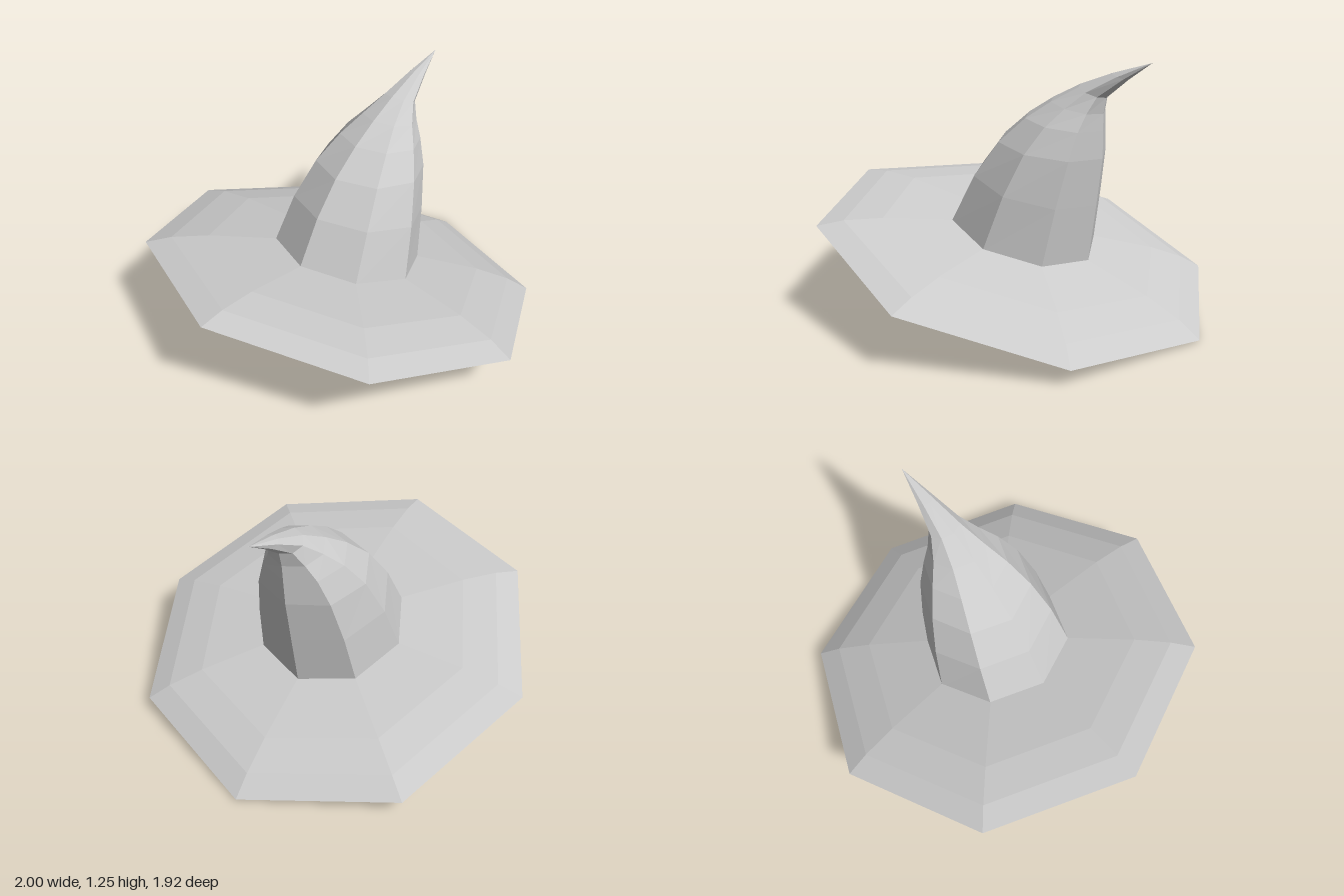
import * as THREE from 'three';

const SIDES = 8;

function flatMaterial() {
  return new THREE.MeshStandardMaterial({ color: 0xcccccc, flatShading: true, side: THREE.DoubleSide });
}

// Skins tilted rings, each given by its front and back point in the z-y plane, half width and x shift
function loftRings(rings) {
  const positions = [];
  const indices = [];
  for (const { front, back, width, shift } of rings) {
    for (let i = 0; i < SIDES; i++) {
      const a = (i / SIDES) * Math.PI * 2;
      const t = (1 + Math.cos(a)) / 2;
      positions.push(
        shift + width * Math.sin(a),
        THREE.MathUtils.lerp(back[1], front[1], t),
        THREE.MathUtils.lerp(back[0], front[0], t)
      );
    }
  }
  for (let r = 0; r < rings.length - 1; r++) {
    for (let i = 0; i < SIDES; i++) {
      const j = (i + 1) % SIDES;
      const a = r * SIDES + i, b = r * SIDES + j;
      const c = a + SIDES, d = b + SIDES;
      indices.push(a, b, d);
      if (r < rings.length - 2) indices.push(a, d, c); // the last ring is the pointed tip
    }
  }
  const geometry = new THREE.BufferGeometry();
  geometry.setAttribute('position', new THREE.Float32BufferAttribute(positions, 3));
  geometry.setIndex(indices);
  geometry.computeVertexNormals();
  return geometry;
}

export function createModel() {
  const hat = new THREE.Group();
  hat.name = 'pointedHat';

  // Wide octagonal brim: flat underside, small lower bevel, gently domed top
  const profile = [
    [0, -0.014], [0.97, -0.014], [1, 0], [0.88, 0.045], [0.7, 0.08], [0.34, 0.112],
  ].map(([r, y]) => new THREE.Vector2(r, y));
  const brim = new THREE.Mesh(new THREE.LatheGeometry(profile, SIDES), flatMaterial());
  brim.name = 'brim';
  brim.rotation.set(-0.285, 0, -0.02);
  brim.position.y = 0.283;
  hat.add(brim);

  // Crown bending backward to a point; front and back are [z, y]
  const crown = new THREE.Mesh(loftRings([
    { front: [0.33, 0.475], back: [-0.385, 0.275], width: 0.37, shift: 0 },
    { front: [0.2, 0.705], back: [-0.425, 0.56], width: 0.325, shift: 0.005 },
    { front: [0.07, 0.865], back: [-0.455, 0.79], width: 0.267, shift: 0.01 },
    { front: [-0.07, 0.98], back: [-0.457, 0.92], width: 0.2, shift: 0.015 },
    { front: [-0.2, 1.06], back: [-0.458, 1.0], width: 0.135, shift: 0.018 },
    { front: [-0.34, 1.13], back: [-0.472, 1.075], width: 0.08, shift: 0.02 },
    { front: [-0.5, 1.19], back: [-0.58, 1.165], width: 0.04, shift: 0.02 },
    { front: [-0.69, 1.245], back: [-0.69, 1.245], width: 0, shift: 0.02 },
  ]), flatMaterial());
  crown.name = 'crown';
  hat.add(crown);

  return hat;
}
